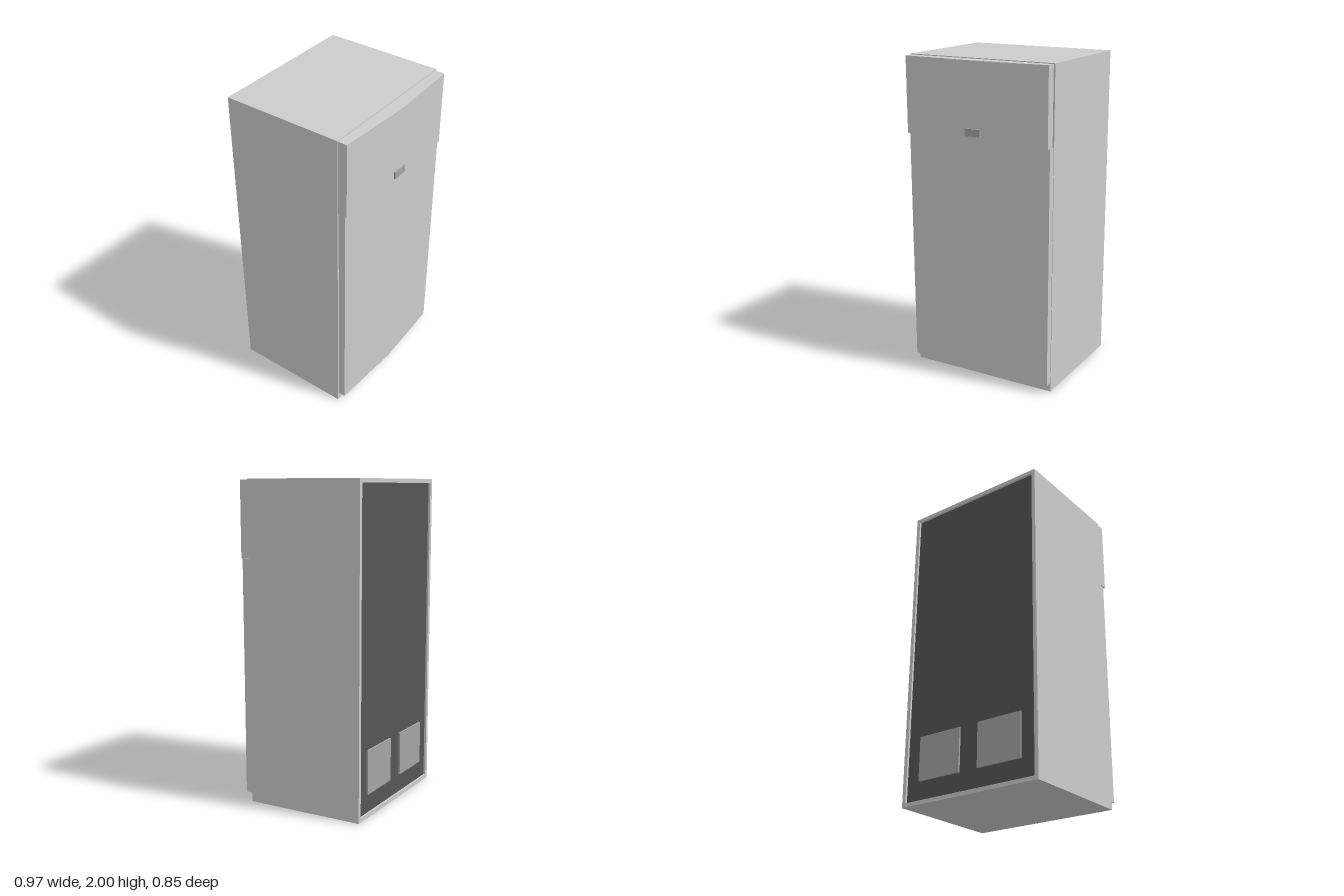
import * as THREE from 'three';

const mat = (name, color) => {
  const m = new THREE.MeshStandardMaterial({ color });
  m.name = name;
  return m;
};

export function createModel() {
  const bodyGrey = mat('lightGrey', 0xcccccc);
  const trimGrey = mat('midGrey', 0xa4a4a4);
  const darkGrey = mat('darkGrey', 0x555555);
  const fridge = new THREE.Group();
  fridge.name = 'refrigerator';

  const add = (name, geometry, material) => {
    const mesh = new THREE.Mesh(geometry, material);
    mesh.name = name;
    fridge.add(mesh);
    return mesh;
  };

  // Box given by its minimum and maximum corners
  const box = (name, [x0, y0, z0], [x1, y1, z1], material) =>
    add(name, new THREE.BoxGeometry(x1 - x0, y1 - y0, z1 - z0), material)
      .position.set((x0 + x1) / 2, (y0 + y1) / 2, (z0 + z1) / 2);

  const W = 0.486, BACK = -0.425, FRONT = 0.335, RECESS = 0.015, RIM = 0.025;

  // Cabinet
  box('cabinet', [-W, 0, BACK + RECESS], [W, 2, FRONT], bodyGrey);

  // Raised rim around the back
  const rectangle = (Type, inset) => new Type([
    [-W + inset, inset], [W - inset, inset], [W - inset, 2 - inset], [-W + inset, 2 - inset],
  ].map(([x, y]) => new THREE.Vector2(x, y)));
  const rim = rectangle(THREE.Shape, 0);
  rim.holes.push(rectangle(THREE.Path, RIM));
  add('backRim', new THREE.ExtrudeGeometry(rim, { depth: RECESS, bevelEnabled: false }), bodyGrey)
    .position.z = BACK;

  // Sunken back panel with two raised vent covers
  box('backPanel', [-W + RIM, RIM, BACK + RECESS - 0.002], [W - RIM, 2 - RIM, BACK + RECESS], darkGrey);
  for (const [name, x] of [['ventLeft', 0.217], ['ventRight', -0.217]]) {
    box(name, [x - 0.151, 0.142, BACK + 0.002], [x + 0.151, 0.415, BACK + RECESS - 0.002], trimGrey);
  }

  // Doors with a shallow ridge down the middle: outline in plan, extruded upward
  const door = (name, x0, x1, y0, y1, edgeZ, ridgeZ) => {
    const plan = new THREE.Shape([
      [x0, -FRONT], [x0, -edgeZ], [0, -ridgeZ], [x1, -edgeZ], [x1, -FRONT],
    ].map(([x, z]) => new THREE.Vector2(x, z)));
    const geometry = new THREE.ExtrudeGeometry(plan, { depth: y1 - y0, bevelEnabled: false });
    geometry.rotateX(-Math.PI / 2);
    add(name, geometry, bodyGrey).position.y = y0;
  };
  door('fridgeDoor', -0.476, 0.483, 0.055, 1.525, 0.38, 0.405);
  door('freezerDoor', -0.482, 0.476, 1.525, 1.995, 0.394, 0.417);

  // Small plate on the freezer door
  box('doorPlate', [-0.053, 1.555, 0.405], [0.048, 1.6, 0.425], trimGrey);

  return fridge;
}
